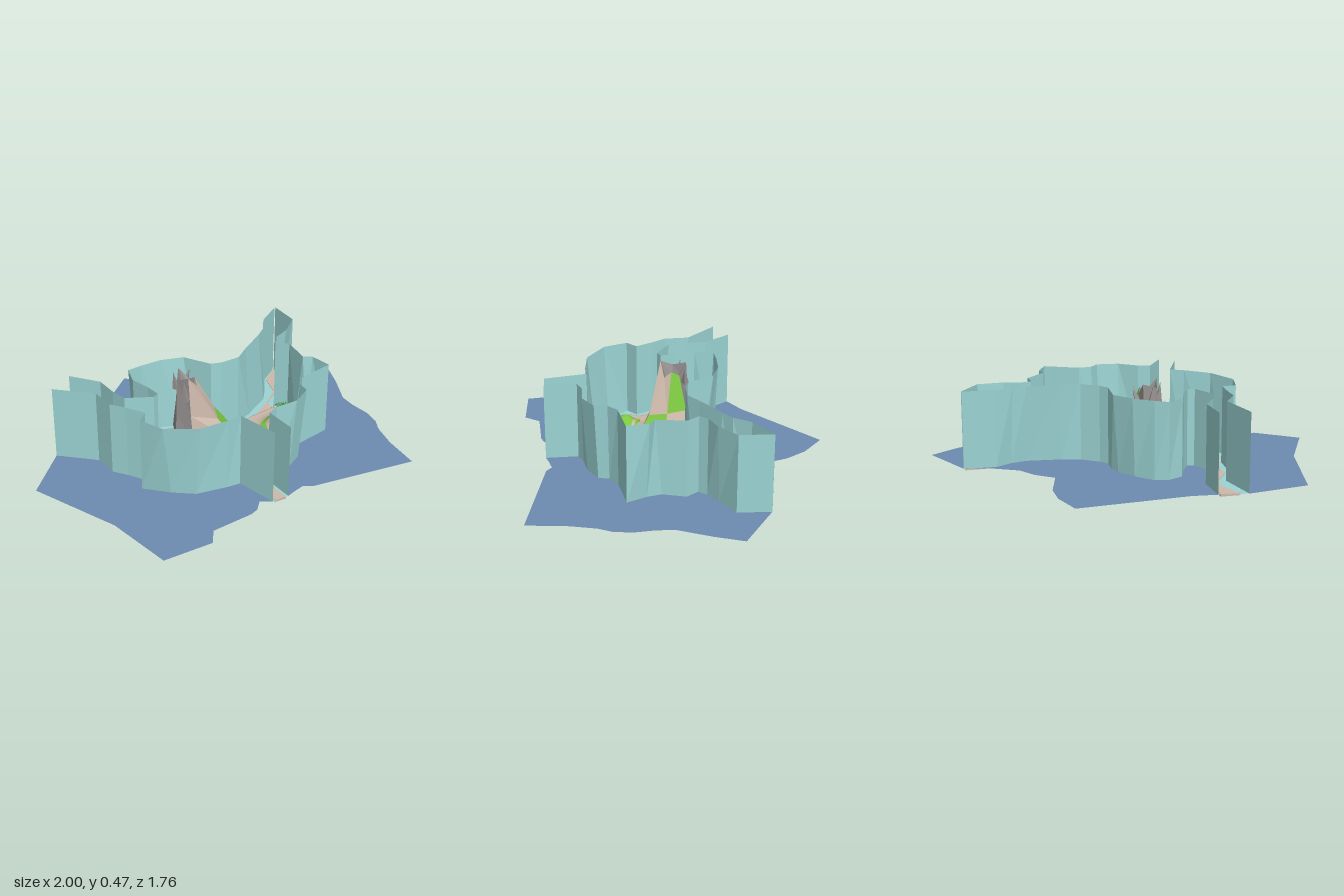
import * as THREE from 'three';

const GROUND = 0.01, WALL_TOP = 0.435;
const material = (color, flatShading = false) =>
  new THREE.MeshStandardMaterial({ color, flatShading, side: THREE.DoubleSide });
const MAT = {
  water: material(0x6d8bb0), shallows: material(0x9cd4d4), wall: material(0x9cd4d4, true),
  sand: material(0xcdb9ab), slope: material(0xcdb9ab, true), grass: material(0x7cc840, true),
  rock: material(0x989292, true), palm: material(0x4c8a3c, true), trunk: material(0x8a6a4c, true),
};

// Shoreline in three runs; the 3rd and 4th numbers push the wall's top edge outward
const SHORE = {
  back: [[-0.7, -0.305], [-0.555, -0.19], [-0.52, -0.07], [-0.48, 0.015], [-0.33, 0.055], [-0.3, 0.03],
    [-0.33, -0.05], [-0.385, -0.15], [-0.36, -0.24, -0.02, -0.02], [-0.3, -0.285], [-0.18, -0.29, 0, -0.02],
    [-0.06, -0.27, 0.01, -0.03], [0, -0.25], [0.07, -0.18], [0.13, -0.175], [0.24, -0.2], [0.33, -0.26, -0.02, -0.02],
    [0.47, -0.39, -0.03, -0.02], [0.51, -0.47, -0.02, 0], [0.53, -0.57], [0.65, -0.695]],
  right: [[0.655, -0.695], [0.695, -0.52], [0.59, -0.42, 0.02, 0.01], [0.525, -0.35], [0.5, -0.3], [0.565, -0.25],
    [0.56, -0.12, 0.02, 0.03], [0.6, -0.05, 0.03, -0.02], [0.68, 0.04], [0.49, 0.12], [0.43, 0.18, 0.02, 0],
    [0.43, 0.24, 0.03, 0.01], [0.35, 0.315, 0.02, 0.02], [0.245, 0.36], [0.19, 0.4], [0.24, 0.57]],
  left: [[0.145, 0.59], [0.04, 0.38], [-0.04, 0.39, 0, 0.015], [-0.21, 0.395, 0.01, 0.035], [-0.33, 0.34, -0.05, 0.03],
    [-0.465, 0.255], [-0.42, 0.19], [-0.5, 0.11], [-0.57, 0.05], [-0.61, -0.08], [-0.82, -0.2]],
};

// Outer edge of the water beyond each run, ordered from the run's end back to its start
const SEA = {
  back: [[0.555, -0.615], [0.385, -0.55], [0.27, -0.567], [0.15, -0.545], [0.03, -0.72], [-0.075, -0.81],
    [-0.24, -0.885], [-0.6, -0.4]],
  right: [[0.29, 0.54], [0.35, 0.51], [0.395, 0.53], [1, 0.49], [0.97, 0.28], [0.97, 0.13], [0.99, 0.05],
    [0.98, -0.05], [0.94, -0.155], [0.92, -0.25], [0.957, -0.44], [0.975, -0.6]],
  left: [[-1, 0.09], [-0.69, 0.52], [-0.54, 0.875], [-0.267, 0.82], [-0.23, 0.727], [0, 0.658], [0.043, 0.63],
    [0.08, 0.567]],
};

const SAND = [[-0.3, 0.07], [-0.27, 0], [-0.34, -0.13], [-0.33, -0.21], [-0.26, -0.26], [-0.05, -0.24], [0.03, -0.18],
  [0.11, -0.145], [0.24, -0.165], [0.35, -0.23], [0.5, -0.28], [0.545, -0.23], [0.555, -0.1], [0.62, 0.035],
  [0.46, 0.09], [0.39, 0.16], [0.4, 0.24], [0.32, 0.29], [0.2, 0.33], [0.16, 0.39], [0.08, 0.355], [-0.13, 0.36],
  [-0.21, 0.355], [-0.33, 0.3], [-0.41, 0.23], [-0.39, 0.17], [-0.45, 0.1]];

const CHANNELS = [
  [[-0.71, -0.3], [-0.6, -0.19], [-0.55, -0.06], [-0.5, 0.045], [-0.29, 0.08], [-0.39, 0.18], [-0.47, 0.09],
    [-0.54, 0.03], [-0.58, -0.1], [-0.64, -0.18], [-0.78, -0.22]],
  [[0.35, -0.22], [0.49, -0.36], [0.56, -0.46], [0.565, -0.59], [0.65, -0.69], [0.66, -0.53], [0.55, -0.42],
    [0.47, -0.33], [0.5, -0.27]],
  [[0.08, 0.35], [0.16, 0.585], [0.225, 0.575], [0.16, 0.37]],
];

// x, z, height and radius of the rounded hills
const HILLS = [[0, -0.04, 0.15, 0.12], [-0.16, 0.21, 0.09, 0.09], [0.44, -0.05, 0.09, 0.085], [0.28, 0.2, 0.08, 0.06]];
const height = (x, z) => HILLS.reduce((y, [hx, hz, h, r]) =>
  y + h * Math.exp(-((x - hx) ** 2 + (z - hz) ** 2) / (r * r)), GROUND + 0.012);

function add(group, name, geometry, mat) {
  const mesh = new THREE.Mesh(geometry, mat);
  mesh.name = name;
  group.add(mesh);
  return mesh;
}

// Quad mesh through loops of [x, y, z] points
function sheet(loops, closed) {
  const n = loops[0].length, index = [];
  for (let j = 0; j + 1 < loops.length; j++)
    for (let i = 0; i < (closed ? n : n - 1); i++) {
      const k = (i + 1) % n, a = j * n, b = a + n;
      index.push(a + i, a + k, b + i, a + k, b + k, b + i);
    }
  const g = new THREE.BufferGeometry();
  g.setAttribute('position', new THREE.Float32BufferAttribute(loops.flat(2), 3));
  g.setIndex(index);
  g.computeVertexNormals();
  return g;
}

// Flat outline laid on the ground
const toShape = pts => new THREE.Shape(pts.map(([x, z]) => new THREE.Vector2(x, -z)));
const flat = shape => new THREE.ShapeGeometry(shape).rotateX(-Math.PI / 2).translate(0, GROUND, 0);

// Rings shrinking from an outline toward a centre, following the hills (outward = upward facing)
function drape([cx, cz], outline, s0, s1, rings, lift) {
  const dense = outline.flatMap(([x, z], i) => {
    const [u, v] = outline[(i + 1) % outline.length];
    return [0, 0.25, 0.5, 0.75].map(t => [x + (u - x) * t, z + (v - z) * t]);
  });
  // keep the winding counterclockwise seen from above
  if (THREE.ShapeUtils.area(dense.map(([x, z]) => new THREE.Vector2(x, -z))) < 0) dense.reverse();
  const loops = [];
  for (let j = 0; j <= rings; j++) {
    const s = s0 + (s1 - s0) * j / rings;
    loops.push(dense.map(([px, pz]) => {
      const x = cx + (px - cx) * s, z = cz + (pz - cz) * s;
      return [x, lift === 0 && j === 0 ? GROUND : height(x, z) + lift, z];
    }));
  }
  return sheet(loops, true);
}

function palm(x, z) {
  const g = new THREE.Group(), y = height(x, z), h = 0.07;
  g.name = 'palm';
  add(g, 'trunk', new THREE.CylinderGeometry(0.005, 0.008, h, 5), MAT.trunk).position.y = h / 2;
  for (let i = 0; i < 7; i++) {
    const leaf = add(g, 'leaf', sheet([
      [[0, h, 0], [0.022, h + 0.012, -0.006], [0.05, h - 0.012, 0]],
      [[0, h, 0], [0.022, h + 0.012, 0.006], [0.05, h - 0.012, 0]]], false), MAT.palm);
    leaf.rotation.y = i * Math.PI * 2 / 7;
  }
  g.position.set(x, y, z);
  return g;
}

export function createModel() {
  const model = new THREE.Group();

  // Water and the standing walls along the shore
  for (const side of ['back', 'right', 'left']) {
    const run = SHORE[side];
    add(model, side + 'Water', flat(toShape([...run, ...SEA[side]])), MAT.water);
    add(model, side + 'Wall', sheet([
      run.map(([x, z]) => [x, GROUND, z]),
      run.map(([x, z, dx = 0, dz = 0]) => [x + dx, WALL_TOP, z + dz])], false), MAT.wall);
  }

  // Shallow rim with a hole for the island
  const rim = toShape([...SHORE.back, ...SHORE.right, ...SHORE.left]);
  rim.holes.push(toShape(SAND));
  add(model, 'shallows', flat(rim), MAT.shallows);

  // Sandy island and its three channels
  add(model, 'island', drape([0.06, 0.06], SAND, 1, 0, 26, 0), MAT.sand);
  for (const c of CHANNELS)
    add(model, 'channel', new THREE.ExtrudeGeometry(toShape(c), { depth: 0.013, bevelEnabled: false })
      .rotateX(-Math.PI / 2), MAT.sand);

  // Grass: centre, outline, outer scale, inner scale
  const hillA = [[-0.31, 0.15], [-0.22, 0.135], [-0.06, 0.135], [-0.01, 0.2], [-0.05, 0.27], [-0.18, 0.305], [-0.31, 0.27]];
  const hillB = [[0.3, 0.06], [0.31, -0.07], [0.41, -0.145], [0.555, -0.165], [0.555, -0.06], [0.43, 0.04]];
  const hillC = [[0.225, 0.27], [0.235, 0.18], [0.3, 0.12], [0.335, 0.145], [0.3, 0.22]];
  const patches = [
    [[-0.16, 0.21], hillA, 1, 0.82], [[-0.16, 0.21], hillA, 0.62, 0],
    [[0.44, -0.05], hillB, 1, 0.65], [[0.28, 0.185], hillC, 1, 0.6],
    [[-0.18, 0.04], [[-0.24, 0.025], [-0.145, 0.005], [-0.155, 0.08]], 1, 0],
    [[0.1, 0.16], [[-0.005, 0.11], [0.155, 0.095], [0.14, 0.24]], 1, 0]];
  for (const [c, outline, s0, s1] of patches) add(model, 'grass', drape(c, outline, s0, s1, 5, 0.005), MAT.grass);

  // Craggy mountain: foot and rim loops, one facet per side
  const foot = [[-0.11, 0.09, 0.05], [0.13, 0.08, 0.105], [0.155, 0.09, -0.06], [0, 0.09, -0.2],
    [-0.16, 0.1, -0.16], [-0.185, 0.1, -0.03]];
  const crest = [[-0.12, 0.475, 0], [-0.06, 0.4, -0.03], [-0.06, 0.435, -0.07], [-0.08, 0.41, -0.11],
    [-0.13, 0.47, -0.14], [-0.165, 0.44, -0.06]];
  const floor = crest.map(([x, , z]) => [-0.11 + (x + 0.11) * 0.6, 0.39, -0.07 + (z + 0.07) * 0.6]);
  const mid = foot.map((p, i) => p.map((v, k) => v + (crest[i][k] - v) * (k === 1 ? 0.42 : 0.5)));
  const mountain = new THREE.Group();
  mountain.name = 'mountain';
  foot.forEach((_, i) => {
    const k = (i + 1) % foot.length, rocky = i > 2;
    add(mountain, 'lowerFace', sheet([[foot[i], foot[k]], [mid[i], mid[k]]], false),
      rocky ? MAT.rock : i === 1 ? MAT.grass : MAT.slope);
    add(mountain, 'upperFace', sheet([[mid[i], mid[k]], [crest[i], crest[k]]], false),
      rocky ? MAT.rock : i === 2 ? MAT.grass : MAT.slope);
  });
  add(mountain, 'craterWall', sheet([crest, floor], true), MAT.rock);
  add(mountain, 'craterFloor', sheet([floor, floor.map(() => [-0.11, 0.4, -0.07])], true), MAT.grass);
  // Leaning spires beside the crater
  for (const [x, y, z, r, h, tilt] of [[-0.165, 0.42, -0.1, 0.022, 0.1, 0.15], [-0.08, 0.41, -0.14, 0.022, 0.09, -0.3],
    [-0.14, 0.4, 0.0, 0.025, 0.12, 0.1]]) {
    const s = add(mountain, 'spire', new THREE.ConeGeometry(r, h, 4), MAT.rock);
    s.position.set(x, y, z);
    s.rotation.z = tilt;
  }
  model.add(mountain);

  for (const [x, z] of [[0.43, -0.03], [0.475, -0.04], [0.11, 0.165], [-0.215, 0.325]]) model.add(palm(x, z));
  return model;
}
